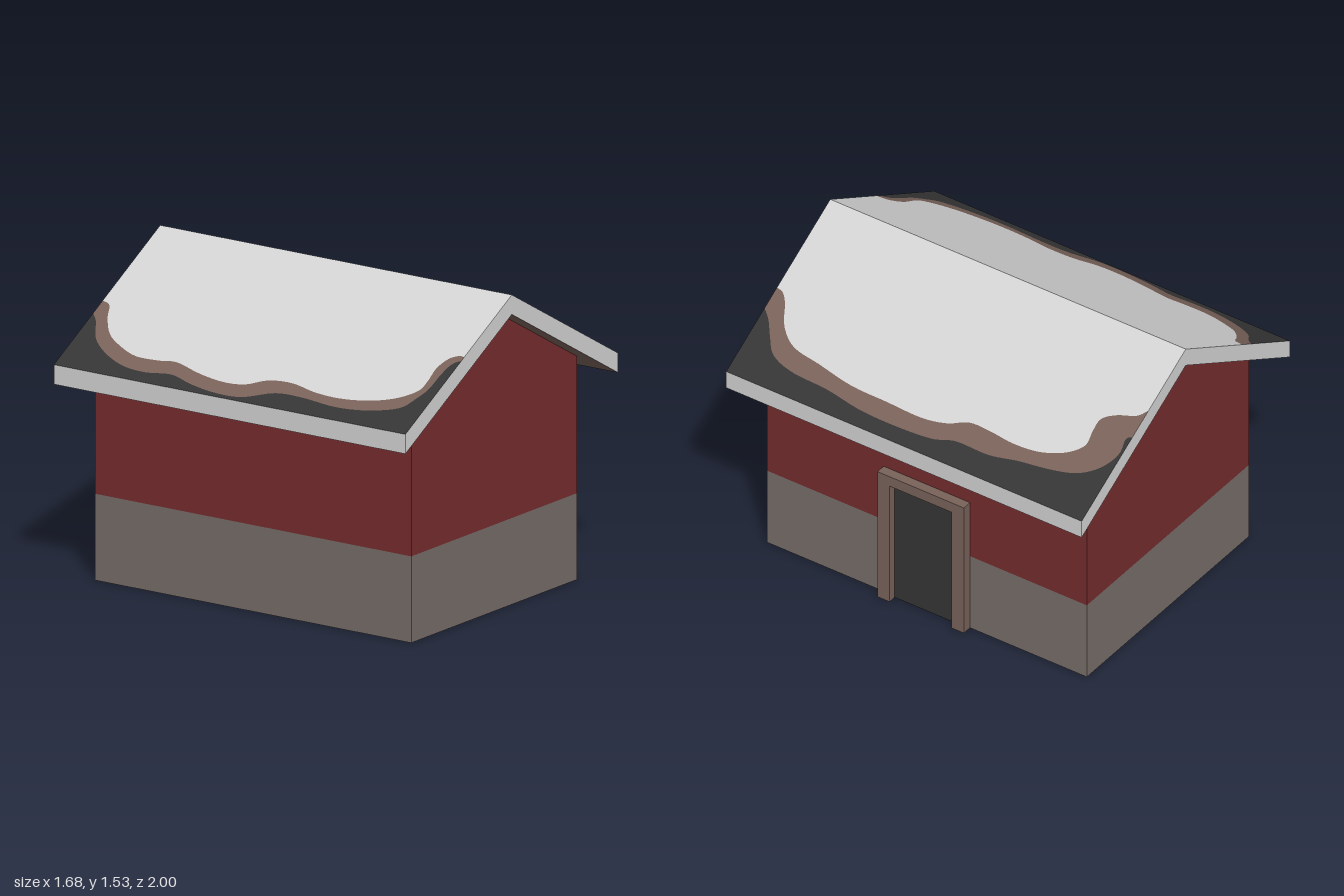
import * as THREE from 'three';

const mat = (name, color) => Object.assign(new THREE.MeshStandardMaterial({ color }), { name });

export function createModel() {
  const red = mat('red boards', 0x752c2e);
  const stone = mat('stone base', 0x776d69);
  const brown = mat('brown wood', 0x79625a);
  const dark = mat('dark slate', 0x353535);
  const snow = mat('pale roof cover', 0xd4d4d4);

  const house = new THREE.Group();
  house.name = 'house';
  const add = (name, geometry, material, x = 0, y = 0, z = 0, parent = house) => {
    const mesh = new THREE.Mesh(geometry, material);
    mesh.name = name;
    mesh.position.set(x, y, z);
    parent.add(mesh);
    return mesh;
  };

  // Main dimensions
  const W = 0.655, D = 0.9, baseH = 0.415;
  const E = 0.84, Z = 1, ridge = 1.535, slope = 0.565, thick = 0.094;
  const roofY = (x) => ridge - slope * Math.abs(x);

  // Walls: stone base with a wooden floor underneath, red gabled upper part
  add('stoneBase', new THREE.BoxGeometry(2 * W, baseH, 2 * D),
    [stone, stone, stone, brown, stone, stone], 0, baseH / 2, 0);
  const gable = new THREE.Shape([[-W, baseH], [W, baseH], [W, roofY(W) - thick],
    [0, ridge - thick], [-W, roofY(W) - thick]].map(([x, y]) => new THREE.Vector2(x, y)));
  add('redWalls', new THREE.ExtrudeGeometry(gable, { depth: 2 * D, bevelEnabled: false }), red, 0, 0, -D);

  // Door on the +x wall, recessed in a frame
  const door = new THREE.Group();
  door.name = 'door';
  house.add(door);
  for (const s of [-1, 1]) {
    add('doorJamb', new THREE.BoxGeometry(0.05, 0.725, 0.068), brown, W + 0.025, 0.3625, s * 0.209, door);
  }
  add('doorLintel', new THREE.BoxGeometry(0.05, 0.055, 0.35), brown, W + 0.025, 0.6975, 0, door);
  add('doorPanel', new THREE.BoxGeometry(0.008, 0.67, 0.35), dark, W + 0.004, 0.335, 0, door);

  // Flat four-cornered face, corners counter-clockwise from outside
  const quad = (...c) => {
    const g = new THREE.BufferGeometry().setFromPoints([c[0], c[1], c[2], c[0], c[2], c[3]]
      .map((p) => new THREE.Vector3(...p)));
    g.computeVertexNormals();
    return g;
  };

  // Roof edges and underside
  const roof = new THREE.Group();
  roof.name = 'roof';
  house.add(roof);
  const top = (x, z) => [x, roofY(x), z];
  const low = (x, z) => [x, roofY(x) - thick, z];
  for (const s of [-1, 1]) {
    const face = (name, m, a, b, c, d) =>
      add(name, s > 0 ? quad(a, b, c, d) : quad(d, c, b, a), m, 0, 0, 0, roof);
    face('eaveEdge', snow, low(s * E, Z), low(s * E, -Z), top(s * E, -Z), top(s * E, Z));
    face('frontGableEdge', snow, low(0, Z), low(s * E, Z), top(s * E, Z), top(0, Z));
    face('backGableEdge', snow, low(s * E, -Z), low(0, -Z), top(0, -Z), top(s * E, -Z));
    face('roofUnderside', brown, low(0, Z), low(0, -Z), low(s * E, -Z), low(s * E, Z));
  }

  // Wavy borders from back to front: [distance from ridge, z]
  const rightInner = [[0.3, -1], [0.34, -0.96], [0.37, -0.87], [0.41, -0.81], [0.47, -0.805], [0.54, -0.81],
    [0.6, -0.74], [0.64, -0.62], [0.65, -0.48], [0.64, -0.35], [0.64, -0.23], [0.68, -0.13], [0.7, 0],
    [0.695, 0.2], [0.69, 0.4], [0.66, 0.6], [0.635, 0.76], [0.57, 0.86], [0.48, 0.92], [0.44, 0.96], [0.43, 1]];
  const rightOuter = [[0.43, -1], [0.45, -0.975], [0.52, -0.985], [0.6, -0.94], [0.66, -0.85], [0.69, -0.72],
    [0.71, -0.55], [0.735, -0.4], [0.735, -0.22], [0.765, -0.1], [0.775, 0.1], [0.77, 0.3], [0.745, 0.5],
    [0.735, 0.7], [0.7, 0.83], [0.63, 0.9], [0.57, 0.95], [0.53, 1]];
  const leftInner = [[0.455, -1], [0.47, -0.95], [0.54, -0.91], [0.62, -0.84], [0.67, -0.75], [0.71, -0.63],
    [0.71, -0.5], [0.7, -0.4], [0.735, -0.25], [0.755, -0.1], [0.745, 0.02], [0.7, 0.12], [0.69, 0.25],
    [0.715, 0.4], [0.72, 0.55], [0.7, 0.7], [0.66, 0.82], [0.6, 0.9], [0.54, 0.91], [0.46, 0.905],
    [0.4, 0.93], [0.375, 0.97], [0.375, 1]];
  const leftOuter = [[0.53, -1], [0.57, -0.955], [0.66, -0.89], [0.73, -0.78], [0.775, -0.65], [0.785, -0.52],
    [0.77, -0.38], [0.8, -0.25], [0.82, -0.1], [0.815, 0.05], [0.76, 0.2], [0.755, 0.35], [0.77, 0.55],
    [0.755, 0.72], [0.71, 0.87], [0.64, 0.92], [0.58, 0.945], [0.5, 0.95], [0.44, 0.96], [0.41, 0.98], [0.4, 1]];

  // Each slope is split along its borders into cover, wooden band and slate
  const band = (name, material, s, from, to) => {
    const shape = new THREE.Shape([...from, ...[...to].reverse()].map((p) => new THREE.Vector2(s * p.x, -p.y)));
    const g = new THREE.ShapeGeometry(shape);
    const p = g.attributes.position;
    for (let i = 0; i < p.count; i++) p.setXYZ(i, p.getX(i), roofY(p.getX(i)), -p.getY(i));
    g.computeVertexNormals();
    add(name, g, material, 0, 0, 0, roof);
  };
  const line = (x) => [new THREE.Vector2(x, -Z), new THREE.Vector2(x, Z)];
  const wavy = (pts) => new THREE.SplineCurve(pts.map(([x, z]) => new THREE.Vector2(x, z))).getPoints(100);
  for (const [s, a, b] of [[1, rightInner, rightOuter], [-1, leftInner, leftOuter]]) {
    const inner = wavy(a), outer = wavy(b);
    band('roofCover', snow, s, line(0), inner);
    band('roofWoodBand', brown, s, inner, outer);
    band('roofSlate', dark, s, outer, line(E));
  }
  return house;
}
